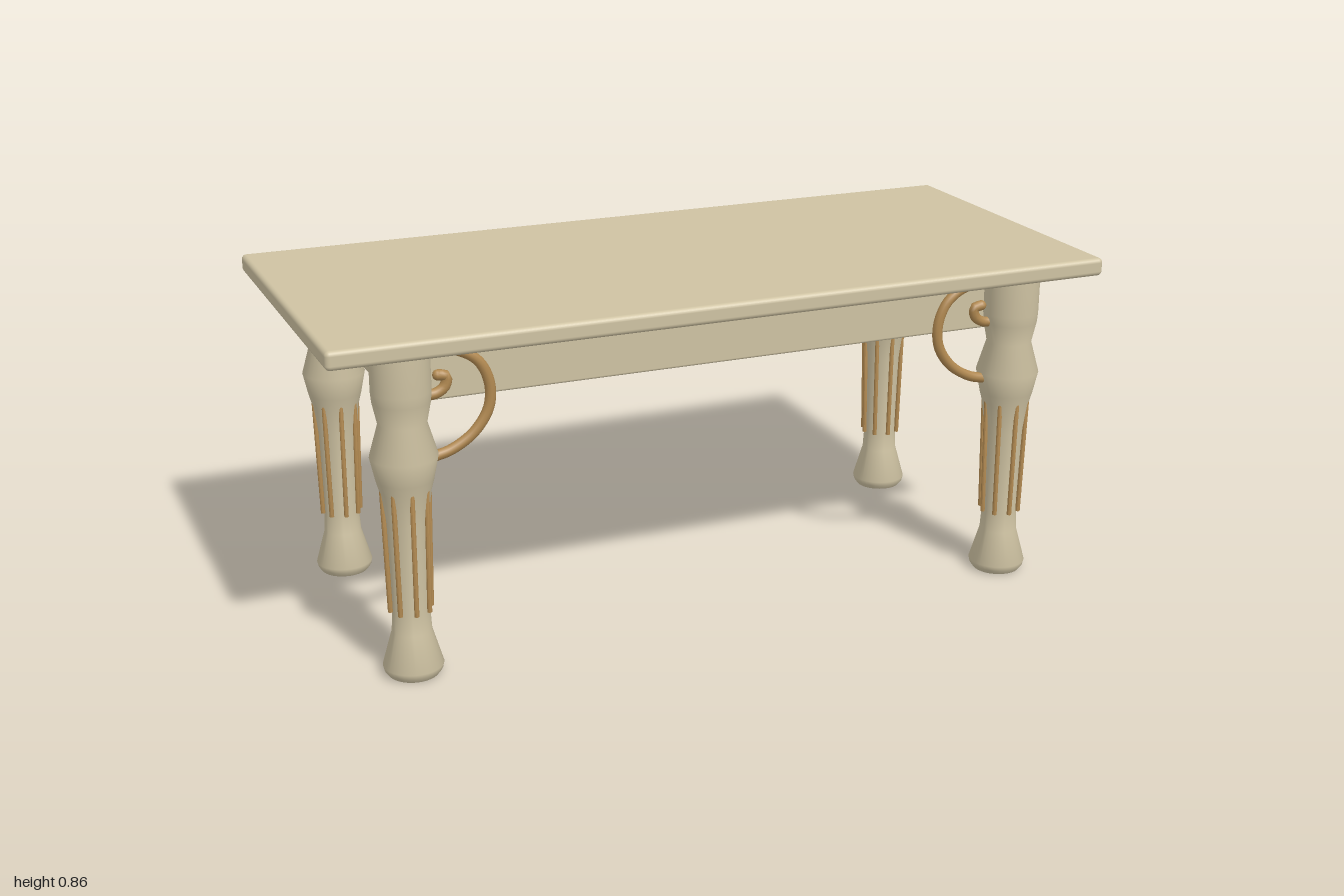
import * as THREE from 'three';
import { toCreasedNormals } from 'three/addons/utils/BufferGeometryUtils.js';
import { RoundedBoxGeometry } from 'three/addons/geometries/RoundedBoxGeometry.js';

const LEG_X = 0.805, LEG_Z = 0.331;

const lathe = (points, segments) =>
  toCreasedNormals(new THREE.LatheGeometry(points.map(p => new THREE.Vector2(...p)), segments), 0.7);

export function createModel() {
  const cream = new THREE.MeshStandardMaterial({ color: 0xcec2a2 });
  cream.name = 'cream paint';
  const bronze = new THREE.MeshStandardMaterial({ color: 0xb08850 });
  bronze.name = 'bronze';

  const table = new THREE.Group();
  table.name = 'table';
  const add = (parent, name, geometry, material, x = 0, y = 0, z = 0) => {
    const mesh = new THREE.Mesh(geometry, material);
    mesh.name = name;
    mesh.position.set(x, y, z);
    parent.add(mesh);
    return mesh;
  };

  // Top slab and the solid apron under it
  add(table, 'tabletop', new RoundedBoxGeometry(2, 0.046, 0.89, 3, 0.012), cream, 0, 0.834, 0);
  add(table, 'apron', new RoundedBoxGeometry(1.62, 0.16, 0.61, 2, 0.006), cream, 0, 0.745, 0);

  // Turned leg: [radius, height]
  const legGeometry = lathe([
    [0, 0], [0.061, 0], [0.07, 0.012], [0.073, 0.024], [0.048, 0.112], [0.045, 0.165],
    [0.046, 0.28], [0.05, 0.39], [0.06, 0.465], [0.068, 0.495], [0.08, 0.552],
    [0.057, 0.632], [0.068, 0.685], [0.07, 0.71], [0.07, 0.82],
  ], 32);

  // Reed: flat foot, domed tip
  const reedGeometry = lathe([
    [0, 0], [0.006, 0], [0.006, 0.306], [0.004, 0.314], [0, 0.317],
  ], 10);

  // Scroll bracket curling out of the leg, drawn for the +x side
  const scrollPath = new THREE.CatmullRomCurve3([
    [-0.07, 0.538], [-0.115, 0.55], [-0.17, 0.585], [-0.207, 0.64], [-0.211, 0.7],
    [-0.187, 0.755], [-0.14, 0.787], [-0.085, 0.795], [-0.035, 0.775], [-0.015, 0.735],
    [-0.035, 0.7], [-0.075, 0.69], [-0.103, 0.705], [-0.108, 0.73], [-0.088, 0.735],
  ].map(([x, y]) => new THREE.Vector3(x, y, 0)));
  const scrollGeometry = new THREE.TubeGeometry(scrollPath, 72, 0.013, 10);

  for (const sx of [1, -1]) {
    for (const sz of [1, -1]) {
      const leg = new THREE.Group();
      leg.name = (sz > 0 ? 'front' : 'back') + (sx > 0 ? 'Left' : 'Right') + 'Leg';
      leg.position.set(sx * LEG_X, 0, sz * LEG_Z);
      table.add(leg);
      add(leg, 'turnedLeg', legGeometry, cream);

      // Eight reeds around the shaft, leaning slightly outward
      for (let i = 0; i < 8; i++) {
        const spoke = new THREE.Group();
        spoke.name = 'reedSpoke';
        spoke.rotation.y = (i * Math.PI) / 4;
        leg.add(spoke);
        add(spoke, 'reed', reedGeometry, bronze, 0.05, 0.165, 0).rotation.z = -0.021;
      }

      // Scrolls on the front legs only, turned around to mirror
      if (sz > 0) {
        const scroll = add(leg, 'scrollBracket', scrollGeometry, bronze);
        if (sx < 0) scroll.rotation.y = Math.PI;
        // Rounded ends of the scroll
        for (const t of [0, 1]) {
          const p = scrollPath.getPoint(t);
          add(scroll, 'scrollTip', new THREE.SphereGeometry(0.013, 10, 8), bronze, p.x, p.y, 0);
        }
      }
    }
  }
  return table;
}
